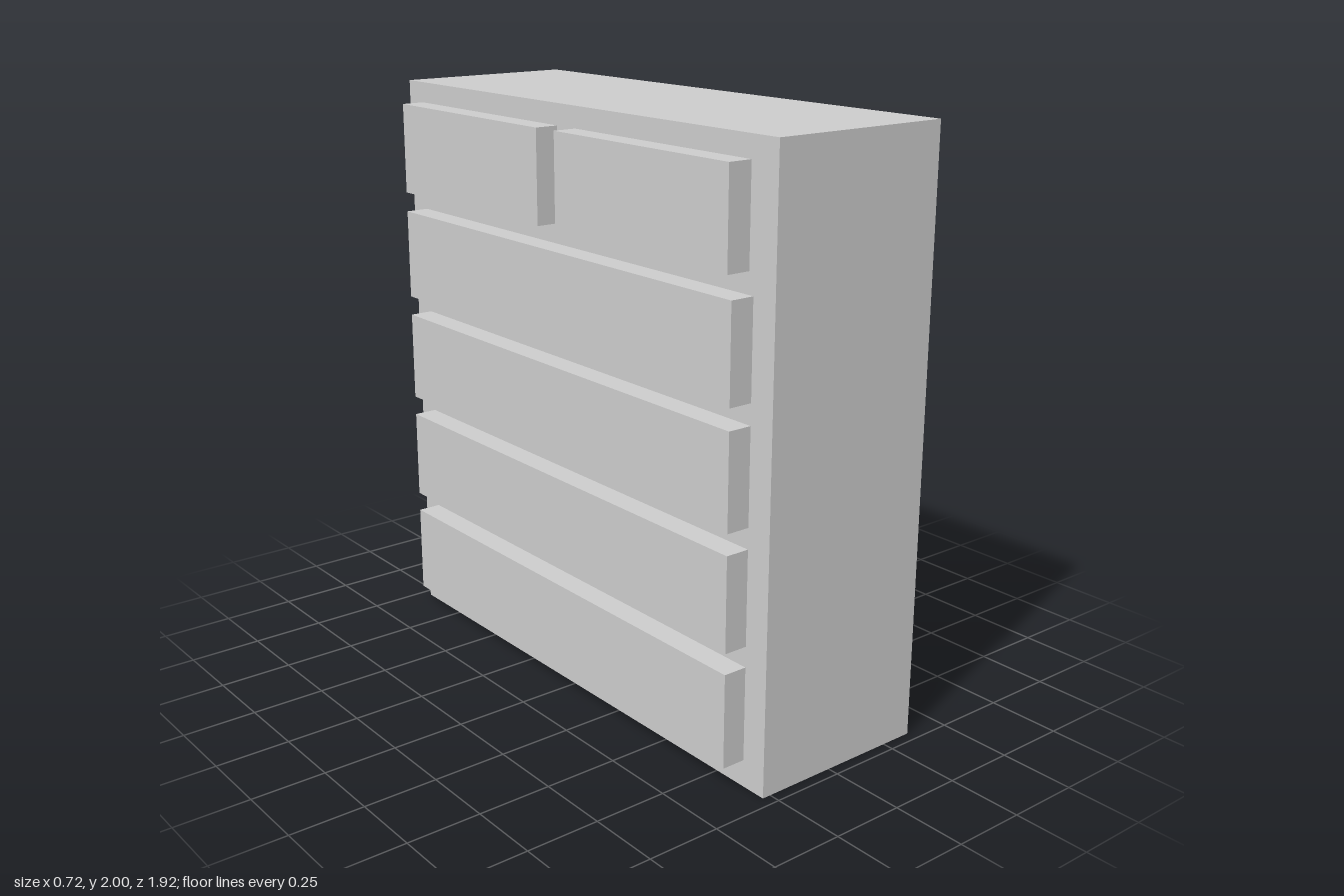
import * as THREE from 'three';

const material = new THREE.MeshStandardMaterial({ color: 0xcccccc, flatShading: true });

// Box given by its minimum and maximum corners
function box(name, [x0, y0, z0], [x1, y1, z1]) {
  const mesh = new THREE.Mesh(new THREE.BoxGeometry(x1 - x0, y1 - y0, z1 - z0), material);
  mesh.position.set((x0 + x1) / 2, (y0 + y1) / 2, (z0 + z1) / 2);
  mesh.name = name;
  return mesh;
}

export function createModel() {
  const group = new THREE.Group();
  group.name = 'chestOfDrawers';

  const faceX = -0.28, frontX = -0.362;
  group.add(box('cabinet', [faceX, 0, -0.962], [0.362, 2, 0.962]));

  // Drawer fronts on the -x side: four wide rows, then a pair on top
  const rows = 5, pitch = 0.3815, firstY = 0.09, height = 0.313;
  for (let i = 0; i < rows; i++) {
    const y = firstY + i * pitch;
    const isTop = i === rows - 1;
    const spans = isTop ? [[-0.875, -0.06], [0.036, 0.852]] : [[-0.875, 0.871]];
    for (const [z0, z1] of spans) {
      group.add(box(isTop ? 'smallDrawer' : 'wideDrawer', [frontX, y, z0], [faceX, y + height, z1]));
    }
  }
  return group;
}
